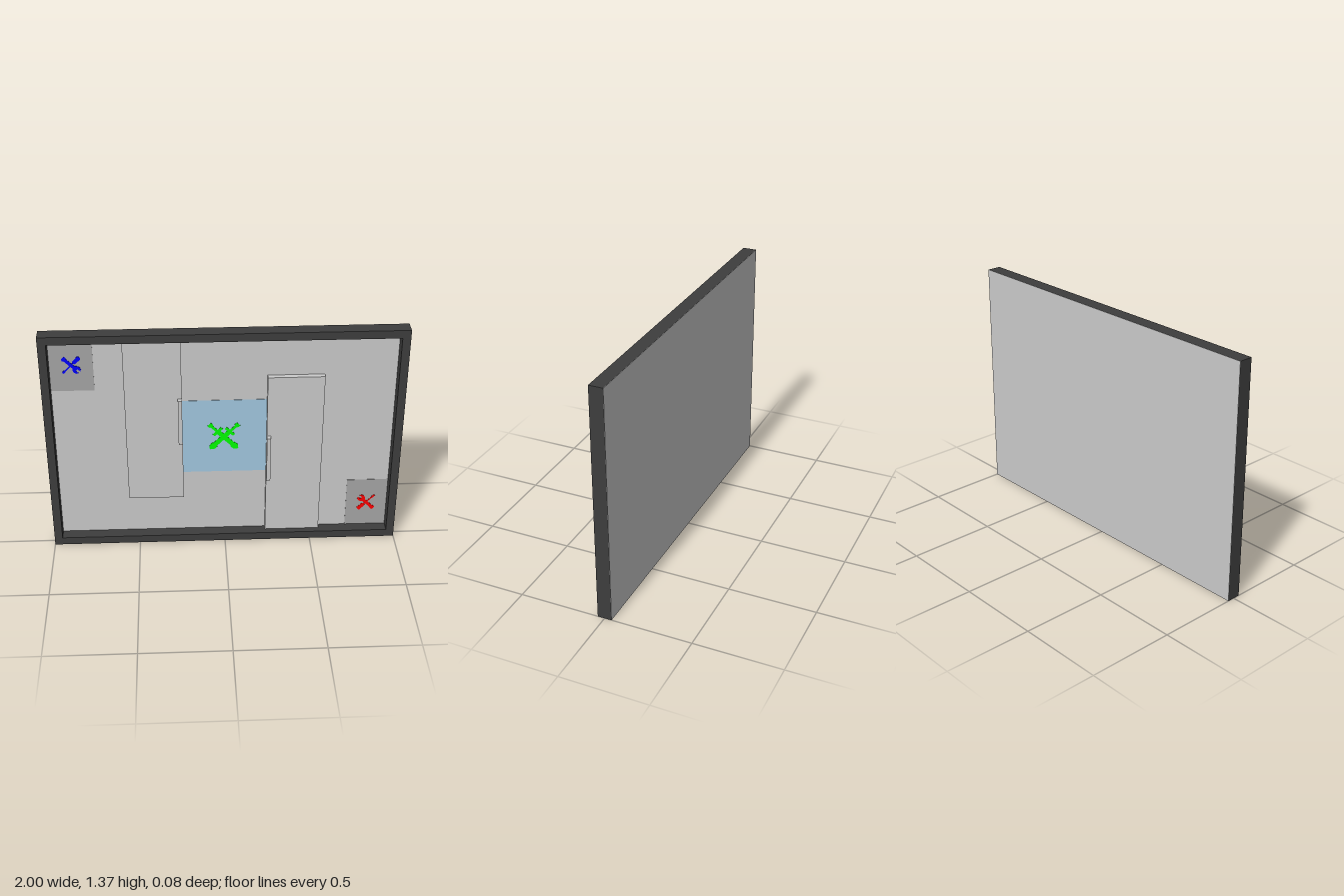
import * as THREE from 'three';

const W = 2, H = 1.365, CY = H / 2;
const BACK = -0.04, FRONT = 0.04;
const FLOOR = -0.028, STEP = 0.003, WALL = 0.034;
const IX = 0.954, IY = CY - 0.047; // inner half sizes of the border

const mat = (color) => new THREE.MeshStandardMaterial({ color });
const grey = mat(0xcccccc);
const dark = mat(0x3e3e3e);
const shade = mat(0xa6a6a6);
const sky = mat(0xa3c9e1);

function add(parent, name, geometry, material) {
  const mesh = new THREE.Mesh(geometry, material);
  mesh.name = name;
  parent.add(mesh);
  return mesh;
}

// Box given by its limits; x and y are measured from the board centre
function slab(parent, name, material, x0, x1, y0, y1, z0, z1) {
  const mesh = add(parent, name, new THREE.BoxGeometry(x1 - x0, y1 - y0, z1 - z0), material);
  mesh.position.set((x0 + x1) / 2, (y0 + y1) / 2, (z0 + z1) / 2);
  return mesh;
}

function outline(points) {
  return new THREE.Shape(points.map(([x, y]) => new THREE.Vector2(x, y)));
}

// Thin flat emblem piece lying on the floor, turned by an angle
function decal(parent, name, points, material, angle) {
  const geometry = new THREE.ExtrudeGeometry(outline(points), { depth: 0.002, bevelEnabled: false });
  const mesh = add(parent, name, geometry, material);
  mesh.rotation.z = angle;
  return mesh;
}

// Mirrors a half outline (x > 0, listed bottom to top) across its long axis
function mirrored(half) {
  return [...half, ...half.slice().reverse().map(([x, y]) => [-x, y])];
}

// Sword pointing down, tip at the bottom
const SWORD = mirrored([
  [0.004, -0.112], [0.019, -0.094], [0.019, -0.072], [0.014, -0.07], [0.014, 0.04],
  [0.033, 0.04], [0.033, 0.057], [0.008, 0.057], [0.008, 0.097], [0.014, 0.099], [0.014, 0.117], [0.004, 0.117],
]);

// Screwdriver with a wide grip at the top
const DRIVER = mirrored([
  [0.005, -0.068], [0.007, -0.052], [0.0035, -0.046], [0.0035, 0.016],
  [0.011, 0.02], [0.012, 0.062], [0.008, 0.067],
]);

// Wrench with its open jaw at the bottom
const WRENCH = [
  [0.007, -0.062], [0.019, -0.055], [0.023, -0.04], [0.018, -0.027], [0.0095, -0.018],
  [0.0095, 0.045], [0.015, 0.054], [0.01, 0.063], [-0.01, 0.063], [-0.015, 0.054], [-0.0095, 0.045],
  [-0.0095, -0.018], [-0.018, -0.027], [-0.023, -0.04], [-0.019, -0.055], [-0.007, -0.062],
  [-0.007, -0.044], [0, -0.039], [0.007, -0.044],
];

// One half of the board: corner zone, raised platform and low wall
function boardHalf(name, emblemColor) {
  const half = new THREE.Group();
  half.name = name;
  slab(half, 'platform', grey, -0.554, -0.2375, -0.39, IY, FLOOR, STEP);
  slab(half, 'platformWall', grey, -0.26, -0.2375, -0.013, 0.27, STEP, WALL);
  slab(half, 'cornerZone', shade, -IX, -0.715, 0.319, IY, FLOOR, FLOOR + 0.002);

  const emblem = new THREE.Group();
  emblem.name = 'toolEmblem';
  emblem.position.set(-0.834, 0.478, FLOOR + 0.002);
  const color = mat(emblemColor);
  decal(emblem, 'screwdriver', DRIVER, color, -Math.PI / 4);
  decal(emblem, 'wrench', WRENCH, color, Math.PI / 4);
  half.add(emblem);
  return half;
}

export function createModel() {
  const model = new THREE.Group();
  model.name = 'arenaBoard';
  const board = new THREE.Group();
  board.name = 'board';
  board.position.y = CY;
  model.add(board);

  // Dark border with an open middle
  const rect = (x, y) => [[-x, -y], [x, -y], [x, y], [-x, y]];
  const ring = outline(rect(W / 2, CY));
  ring.holes.push(outline(rect(IX, IY).reverse()));
  const border = add(board, 'border',
    new THREE.ExtrudeGeometry(ring, { depth: FRONT - BACK, bevelEnabled: false }), dark);
  border.position.z = BACK;

  // Floor, and the thin sheet that closes the back
  slab(board, 'floor', grey, -IX, IX, -IY, IY, BACK, FLOOR);
  slab(board, 'backSheet', grey, -W / 2, W / 2, -CY, CY, BACK - 0.001, BACK);

  // The two halves are the same, turned half way round
  board.add(boardHalf('leftHalf', 0x0000ff));
  const other = boardHalf('rightHalf', 0xff0000);
  other.rotation.z = Math.PI;
  board.add(other);

  // Centre zone with crossed swords
  slab(board, 'centreZone', sky, -0.2375, 0.2375, -0.235, 0.238, FLOOR, FLOOR + 0.002);
  const swords = new THREE.Group();
  swords.name = 'swordEmblem';
  swords.position.set(-0.004, -0.001, FLOOR + 0.002);
  const green = mat(0x00ff00);
  for (const side of [-1, 1]) decal(swords, 'sword', SWORD, green, side * Math.PI / 4);
  board.add(swords);

  return model;
}
